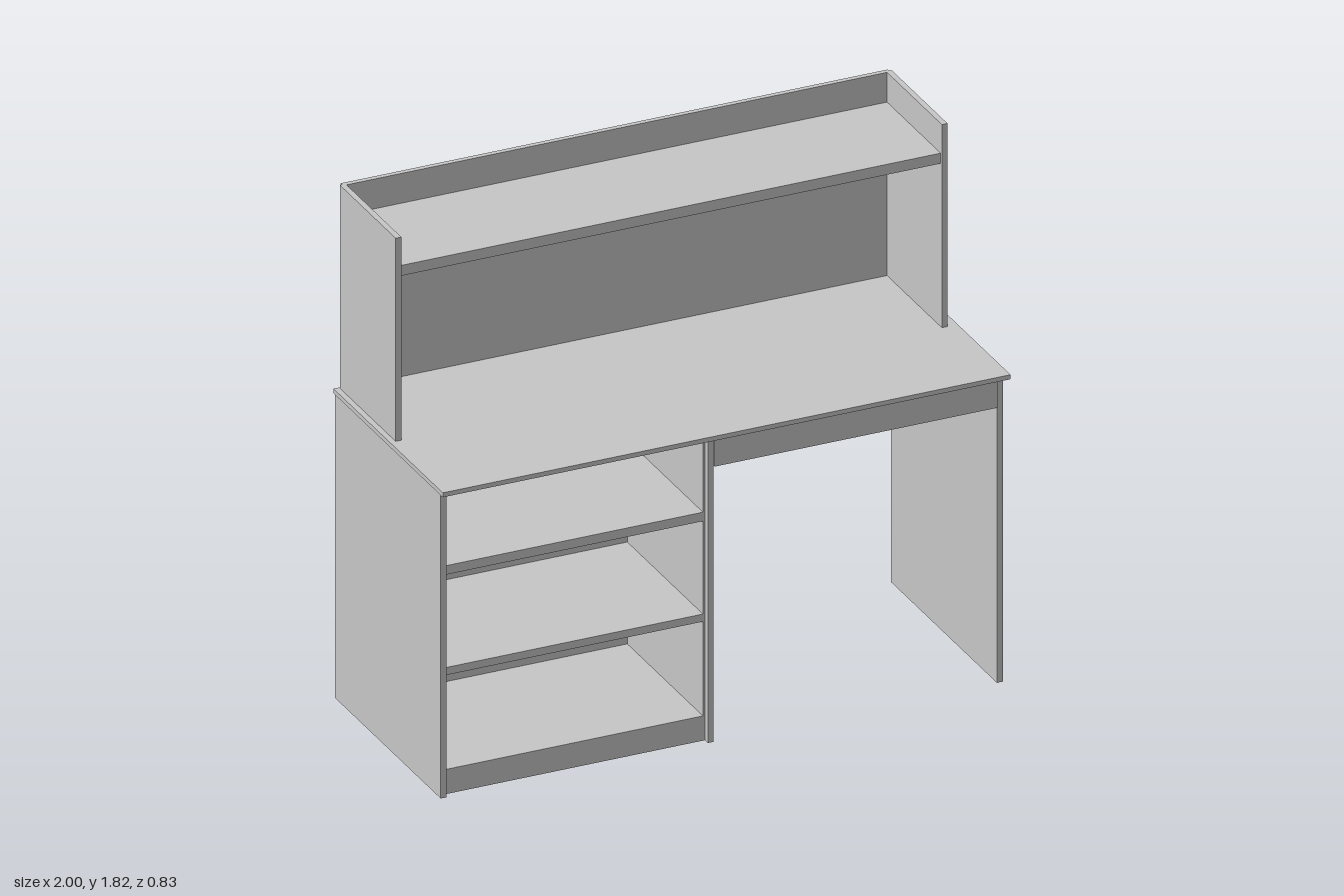
import * as THREE from 'three';

const grey = new THREE.MeshStandardMaterial({ color: 0xc7c7c7 });
grey.name = 'light grey laminate';

// Box given by its min and max on each axis
function board(name, [x0, x1], [y0, y1], [z0, z1]) {
  const mesh = new THREE.Mesh(new THREE.BoxGeometry(x1 - x0, y1 - y0, z1 - z0), grey);
  mesh.position.set((x0 + x1) / 2, (y0 + y1) / 2, (z0 + z1) / 2);
  mesh.name = name;
  return mesh;
}

function rectangle(Type, x0, x1, y0, y1) {
  return new Type().moveTo(x0, y0).lineTo(x1, y0).lineTo(x1, y1).lineTo(x0, y1).closePath();
}

export function createModel() {
  const desk = new THREE.Group();
  desk.name = 'desk';
  const back = -0.405, under = 1.084, top = 1.1;

  // Worktop
  desk.add(board('worktop', [-1, 1], [under, top], [-0.41, 0.414]));

  // Upright panels that carry the worktop
  const uprights = { cabinetOuterSide: [-0.997, -0.977], cabinetInnerSide: [-0.056, -0.036], leg: [0.962, 0.983] };
  for (const [name, x] of Object.entries(uprights)) desk.add(board(name, x, [0, under], [back, 0.392]));

  // Shallow box under the worktop, over the knee space
  desk.add(board('apronBox', [-0.034, 0.962], [0.982, under], [-0.398, 0.396]));

  // Open cabinet: a front frame with three compartments and a solid back
  const cabinet = new THREE.Group();
  cabinet.name = 'cabinet';
  const innerBack = -0.2, cabinetFront = 0.37;
  const outline = rectangle(THREE.Shape, -0.977, -0.056, 0, under);
  for (const [y0, y1] of [[0.088, 0.424], [0.451, 0.782], [0.814, 1.068]]) {
    outline.holes.push(rectangle(THREE.Path, -0.966, -0.063, y0, y1));
  }
  const frame = new THREE.Mesh(
    new THREE.ExtrudeGeometry(outline, { depth: cabinetFront - innerBack, bevelEnabled: false }), grey);
  frame.position.z = innerBack;
  frame.name = 'cabinetShelves';
  cabinet.add(frame, board('cabinetBack', [-0.977, -0.056], [0, under], [back, innerBack]));
  desk.add(cabinet);

  // Hutch on top of the desk
  const hutch = new THREE.Group();
  hutch.name = 'hutch';
  for (const [name, x] of [['hutchRightSide', [-0.98, -0.96]], ['hutchLeftSide', [0.944, 0.964]]]) {
    hutch.add(board(name, x, [top, 1.824], [-0.405, 0.016]));
  }
  hutch.add(
    board('hutchBack', [-0.972, 0.955], [1.096, 1.824], [-0.415, -0.397]),
    board('hutchShelf', [-0.96, 0.944], [1.681, 1.718], [-0.397, 0.007]),
  );
  desk.add(hutch);
  return desk;
}
